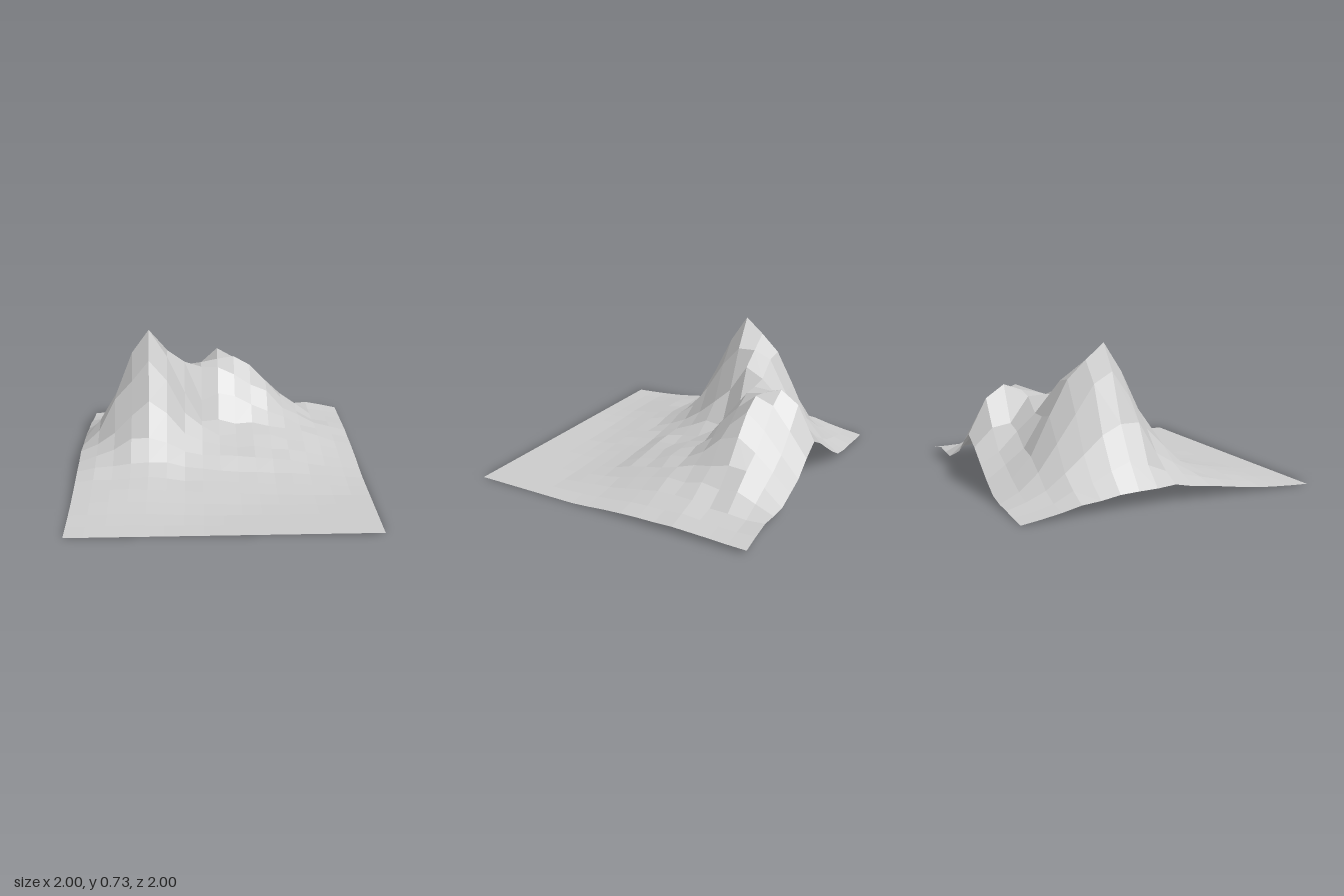
import * as THREE from 'three';

const CELLS = 16;
const SIDE = 1.54;
const TURN = -0.379;

// Heights at every second grid point, back row first
const COARSE = [
  [0, 0.01, 0.03, 0.14, 0.25, 0.12, 0.05, 0.06, 0.02],
  [0.03, 0.08, 0.2, 0.285, 0.495, 0.34, 0.2, 0.06, 0.025],
  [0.06, 0.23, 0.56, 0.46, 0.44, 0.33, 0.18, 0.08, 0.03],
  [0.08, 0.36, 0.73, 0.36, 0.19, 0.17, 0.13, 0.08, 0.025],
  [0.09, 0.2, 0.385, 0.19, 0.12, 0.11, 0.085, 0.045, 0.015],
  [0.06, 0.09, 0.11, 0.08, 0.055, 0.045, 0.035, 0.02, 0],
  [0.03, 0.05, 0.05, 0.035, 0.025, 0.012, 0.005, 0, 0],
  [0.01, 0.015, 0.015, 0.005, 0, 0, 0, 0, 0],
  [0, 0, 0, 0, 0, 0, 0, 0, 0],
];

// Sharp ridge, gully and ledge points between the coarse ones: column, row, height
const CREASES = [
  [3, 6, 0.6], [4, 5, 0.65], [5, 5, 0.58], [6, 5, 0.51], [2, 7, 0.36],
  [4, 9, 0.21], [5, 9, 0.18], [6, 9, 0.125],
  [5, 2, 0.22], [5, 3, 0.37], [6, 3, 0.37], [7, 2, 0.31], [7, 3, 0.44],
  [7, 4, 0.445], [7, 5, 0.27], [7, 6, 0.18],
  [8, 3, 0.46], [9, 3, 0.475], [10, 3, 0.42], [8, 1, 0.43],
  [11, 2, 0.257], [11, 3, 0.32], [11, 4, 0.29],
  [8, 9, 0.1], [9, 9, 0.095], [10, 9, 0.085], [11, 9, 0.075], [12, 9, 0.065],
];

// Value at a half step through four neighbours, or at the point itself
function along(sample, k) {
  const a = Math.floor(k / 2);
  if (k % 2 === 0) return sample(a);
  const at = (n) => sample(THREE.MathUtils.clamp(n, 0, CELLS / 2));
  return (9 * (at(a) + at(a + 1)) - at(a - 1) - at(a + 2)) / 16;
}

function makeNoise(seed) {
  let s = seed;
  return () => {
    s = (s * 16807) % 2147483647;
    return s / 2147483647 - 0.5;
  };
}

function heightAt(col, row, noise) {
  const crease = CREASES.find(([c, r]) => c === col && r === row);
  if (crease) return crease[2];
  const h = along((b) => along((a) => COARSE[b][a], col), row);
  // Slight roughness between the coarse points, none on the flat ground
  const rough = col % 2 || row % 2 ? noise * Math.min(0.025, h * 0.3) : 0;
  return Math.max(0, h + rough);
}

// One shared normal for both triangles of each grid cell
function facetCells(geometry) {
  const faceted = geometry.toNonIndexed();
  faceted.computeVertexNormals();
  const normals = faceted.attributes.normal;
  const second = new THREE.Vector3();
  const n = new THREE.Vector3();
  for (let i = 0; i < normals.count; i += 6) {
    second.fromBufferAttribute(normals, i + 3);
    n.fromBufferAttribute(normals, i).add(second).normalize();
    for (let k = 0; k < 6; k++) normals.setXYZ(i + k, n.x, n.y, n.z);
  }
  return faceted;
}

export function createModel() {
  const group = new THREE.Group();
  group.name = 'terrain';

  // Square sheet raised into two peaks with a saddle between them
  const sheet = new THREE.PlaneGeometry(SIDE, SIDE, CELLS, CELLS).rotateX(-Math.PI / 2);
  const pos = sheet.attributes.position;
  const noise = makeNoise(71);
  for (let n = 0; n < pos.count; n++) {
    const col = n % (CELLS + 1);
    const row = Math.floor(n / (CELLS + 1));
    pos.setY(n, heightAt(col, row, noise()));
  }
  sheet.rotateY(TURN);

  const mountain = new THREE.Mesh(
    facetCells(sheet),
    new THREE.MeshStandardMaterial({ color: 0xcccccc, side: THREE.DoubleSide }),
  );
  mountain.name = 'mountain';
  group.add(mountain);
  return group;
}
